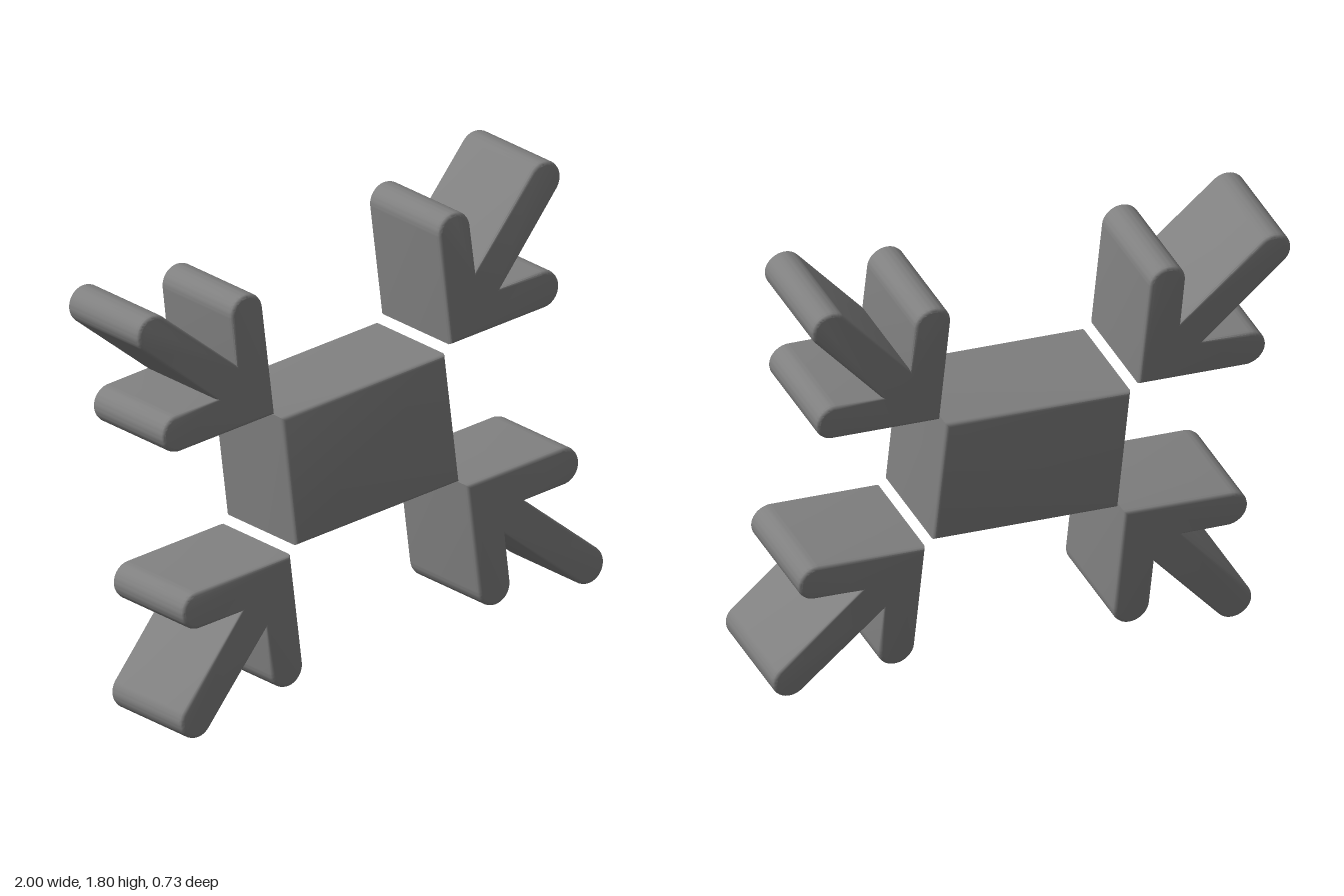
import * as THREE from 'three';
import { toCreasedNormals } from 'three/addons/utils/BufferGeometryUtils.js';

const DEPTH = 0.43;
const BEVEL = 0.015;

// Extrudes an outline to the common depth, centred on z, with softened rims
function slab(shape) {
  const geometry = new THREE.ExtrudeGeometry(shape, {
    depth: DEPTH - 2 * BEVEL,
    bevelThickness: BEVEL,
    bevelSize: BEVEL,
    bevelOffset: -BEVEL,
    bevelSegments: 3,
    curveSegments: 16,
  });
  geometry.translate(0, 0, -DEPTH / 2 + BEVEL);
  return toCreasedNormals(geometry, 0.6);
}

// Arrow with its point at the origin: two round-ended barbs and a diagonal shaft
function arrowShape() {
  const r = 0.072, w = 2 * r, barb = 0.497 - r, tip = 0.484;
  const notch = w + r * Math.SQRT2;
  const shape = new THREE.Shape();
  shape.moveTo(0, 0);
  shape.lineTo(barb, 0);
  shape.absarc(barb, r, r, -Math.PI / 2, Math.PI / 2, false);
  shape.lineTo(notch, w);
  shape.absarc(tip, tip, r, -Math.PI / 4, Math.PI * 3 / 4, false);
  shape.lineTo(w, notch);
  shape.lineTo(w, barb);
  shape.absarc(r, barb, r, 0, Math.PI, false);
  shape.closePath();
  return shape;
}

function blockShape(hx, hy) {
  return new THREE.Shape([
    new THREE.Vector2(-hx, -hy), new THREE.Vector2(hx, -hy),
    new THREE.Vector2(hx, hy), new THREE.Vector2(-hx, hy),
  ]);
}

export function createModel() {
  const material = new THREE.MeshStandardMaterial({ color: 0x808080 });
  const icon = new THREE.Group();
  icon.name = 'tiltedIcon';

  // Central block
  const block = new THREE.Mesh(slab(blockShape(0.367, 0.252)), material);
  block.name = 'centralBlock';
  icon.add(block);

  // Four arrows pointing in at the corners, a quarter turn apart
  const arrowGeometry = slab(arrowShape());
  const corners = [
    ['upperLeftArrow', 1, 1], ['upperRightArrow', -1, 1],
    ['lowerRightArrow', -1, -1], ['lowerLeftArrow', 1, -1],
  ];
  corners.forEach(([name, sx, sy], i) => {
    const arrow = new THREE.Mesh(arrowGeometry, material);
    arrow.name = name;
    arrow.position.set(sx * 0.394, sy * 0.278, 0);
    arrow.rotation.z = i * Math.PI / 2;
    icon.add(arrow);
  });

  // The whole piece leans slightly
  icon.rotation.set(-0.092, -0.085, 0.052);
  icon.position.y = 0.9;

  const model = new THREE.Group();
  model.name = 'arrowsAroundBlock';
  model.add(icon);
  return model;
}
